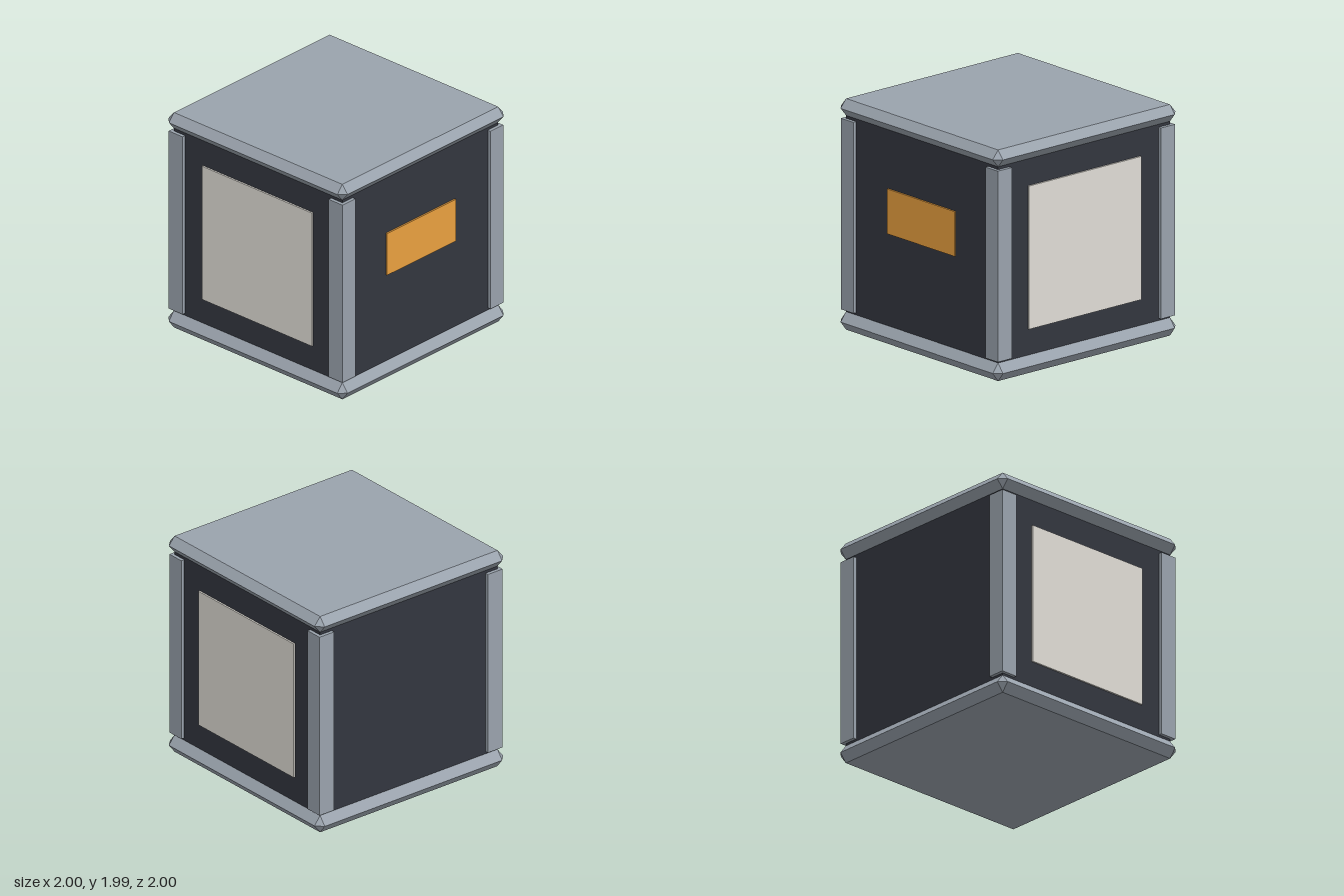
import * as THREE from 'three';
import { ConvexGeometry } from 'three/addons/geometries/ConvexGeometry.js';

const paint = (color) => new THREE.MeshStandardMaterial({ color, flatShading: true });
const steel = paint(0x9aa3ad);
const dark = paint(0x33363f);
const cream = paint(0xe0ddd6);
const amber = paint(0xeba140);

export function createModel() {
  const group = new THREE.Group();

  const add = (name, geometry, material, x, y, z) => {
    const mesh = new THREE.Mesh(geometry, material);
    mesh.name = name;
    mesh.position.set(x, y, z);
    group.add(mesh);
  };

  // Square slab whose edges are bevelled to a ridge, with cut corners
  const plateGeometry = (height) => {
    const inner = 0.94, outer = 1, points = [];
    for (const sx of [-1, 1]) for (const sz of [-1, 1]) {
      for (const sy of [-1, 1]) {
        points.push(new THREE.Vector3(sx * inner, sy * height / 2, sz * inner));
      }
      points.push(new THREE.Vector3(sx * outer, 0, sz * inner));
      points.push(new THREE.Vector3(sx * inner, 0, sz * outer));
    }
    return new ConvexGeometry(points);
  };
  add('bottomPlate', plateGeometry(0.155), steel, 0, 0.0775, 0);
  add('topPlate', plateGeometry(0.145), steel, 0, 1.9125, 0);

  // Dark body between the plates
  add('body', new THREE.BoxGeometry(1.88, 1.69, 1.88), dark, 0, 0.9975, 0);

  // Corner posts, slightly proud of the body and clear of the plates
  const post = new THREE.BoxGeometry(0.155, 1.64, 0.155);
  for (const sx of [-1, 1]) for (const sz of [-1, 1]) {
    add('cornerPost', post, steel, sx * 0.8925, 0.995, sz * 0.8925);
  }

  // Large pale panel on each side
  for (const sx of [-1, 1]) {
    add('sidePanel', new THREE.BoxGeometry(0.03, 1.23, 1.23), cream, sx * 0.94, 0.995, 0);
  }

  // Small front window
  add('frontWindow', new THREE.BoxGeometry(0.83, 0.385, 0.03), amber, 0, 1.1425, 0.94);

  return group;
}
